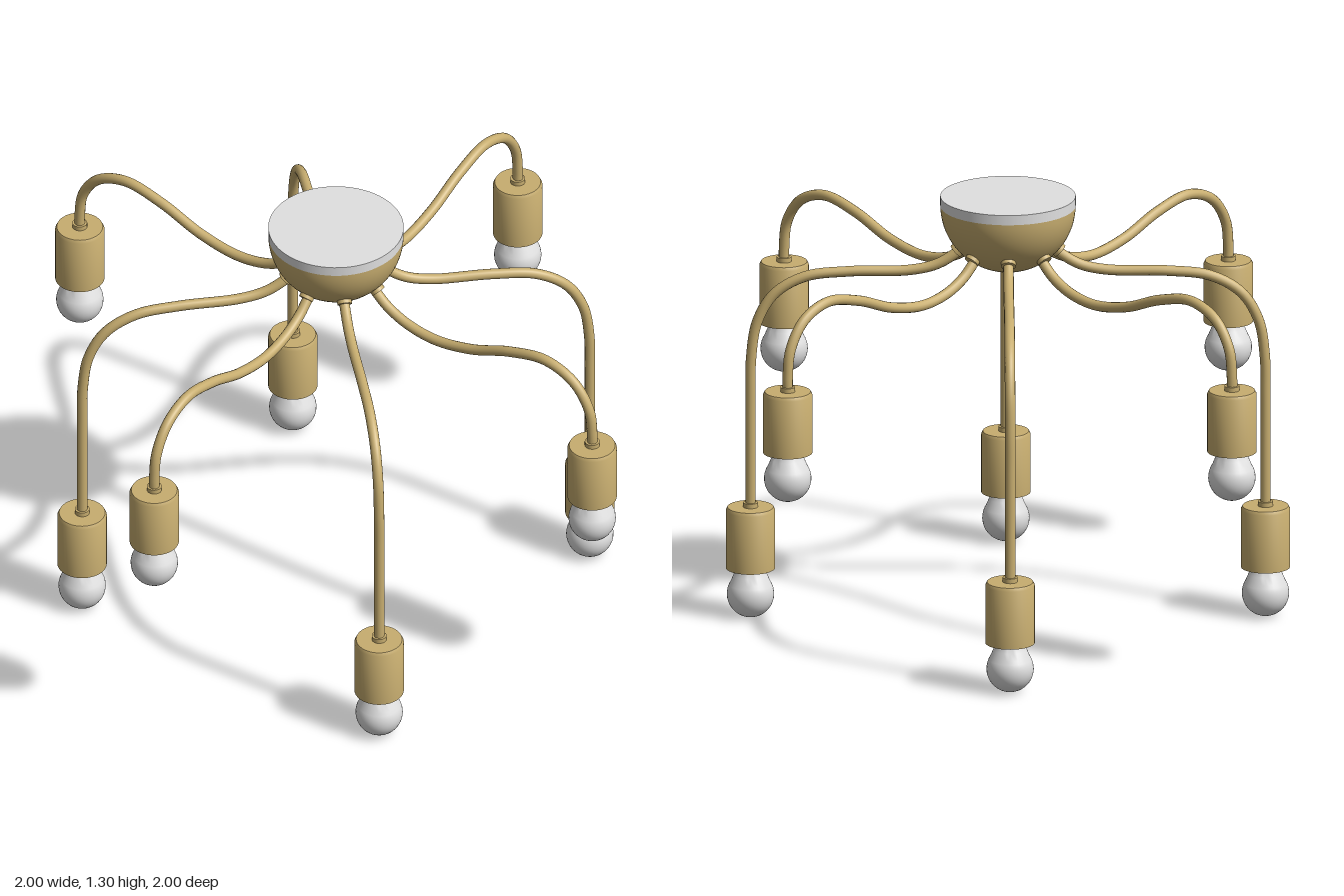
import * as THREE from 'three';
import { toCreasedNormals } from 'three/addons/utils/BufferGeometryUtils.js';

const brass = new THREE.MeshStandardMaterial({ color: 0xc8ae70 });
brass.name = 'brass';
const white = new THREE.MeshStandardMaterial({ color: 0xe0e0e0 });
white.name = 'white';

const v2 = (p) => new THREE.Vector2(p[0], p[1]);
const lathe = (pts, seg = 40) =>
  toCreasedNormals(new THREE.LatheGeometry(pts.map(v2), seg), 0.6);

function add(parent, name, geometry, material, x = 0, y = 0, z = 0) {
  const mesh = new THREE.Mesh(geometry, material);
  mesh.name = name;
  mesh.position.set(x, y, z);
  parent.add(mesh);
  return mesh;
}

// Dome centre height, radius, and where the arms leave it
const DOME_Y = 1.268, DOME_R = 0.2;
const EXIT_R = 0.147, EXIT_Y = 1.132;

// Profiles measured from the bottom of the bulb
const bulbProfile = [];
for (let i = 0; i <= 14; i++) {
  const a = -Math.PI / 2 + (i / 14) * 2.15;
  bulbProfile.push([Math.max(0, Math.cos(a) * 0.07), 0.07 + Math.sin(a) * 0.07]);
}
bulbProfile.push([0.05, 0.129], [0.042, 0.143], [0.038, 0.16], [0.036, 0.22], [0, 0.22]);
const bulbGeo = lathe(bulbProfile, 32);

// Hollow cup, open at the bottom
const socketGeo = lathe([
  [0, 0.215], [0.062, 0.215], [0.062, 0.15], [0.073, 0.15],
  [0.073, 0.328], [0.068, 0.338], [0, 0.338],
]);
const collarGeo = new THREE.CylinderGeometry(0.022, 0.022, 0.02, 20);

// Arm centre lines as [distance from axis, height]
const upperPath = [
  [0.1, 1.165], [EXIT_R, 1.118], [0.19, 1.082], [0.26, 1.05], [0.36, 1.036], [0.49, 1.058],
  [0.63, 1.11], [0.76, 1.134], [0.86, 1.097], [0.915, 1.02], [0.927, 0.94], [0.927, 0.88],
];
const lowerPath = [
  [0.1, 1.165], [EXIT_R, 1.125], [0.21, 1.086], [0.29, 1.068], [0.47, 1.064], [0.6, 1.048],
  [0.69, 0.995], [0.74, 0.91], [0.758, 0.8], [0.76, 0.68], [0.76, 0.5], [0.76, 0.33],
];

function makeArm(path, bulbBottom) {
  const arm = new THREE.Group();
  const reach = path[path.length - 1][0];
  const curve = new THREE.CatmullRomCurve3(path.map(([r, y]) => new THREE.Vector3(r, y, 0)));
  add(arm, 'armTube', new THREE.TubeGeometry(curve, 80, 0.0155, 14), brass);
  // Small ring where the tube meets the dome
  const ring = add(arm, 'domeCollar', collarGeo, brass, EXIT_R, EXIT_Y);
  ring.rotation.z = -Math.atan2(EXIT_R, EXIT_Y - DOME_Y);
  add(arm, 'socketCollar', collarGeo, brass, reach, bulbBottom + 0.342);
  add(arm, 'socket', socketGeo, brass, reach, bulbBottom);
  add(arm, 'bulb', bulbGeo, white, reach, bulbBottom);
  return arm;
}

export function createModel() {
  const model = new THREE.Group();
  model.name = 'chandelier';

  // Ceiling plate and half-round canopy
  add(model, 'ceilingPlate', new THREE.CylinderGeometry(DOME_R, DOME_R, 0.03, 64), white, 0, DOME_Y + 0.013);
  const domeProfile = [];
  for (let i = 0; i <= 20; i++) {
    const a = (i / 20) * Math.PI / 2;
    domeProfile.push([Math.sin(a) * DOME_R, -Math.cos(a) * DOME_R]);
  }
  add(model, 'canopy', lathe(domeProfile, 64), brass, 0, DOME_Y);

  // Eight arms, alternating short and long drops
  for (let i = 0; i < 8; i++) {
    const upper = i % 2 === 0;
    const arm = upper ? makeArm(upperPath, 0.557) : makeArm(lowerPath, 0);
    arm.name = upper ? 'upperArm' : 'lowerArm';
    arm.rotation.y = (i * Math.PI) / 4;
    model.add(arm);
  }
  return model;
}
